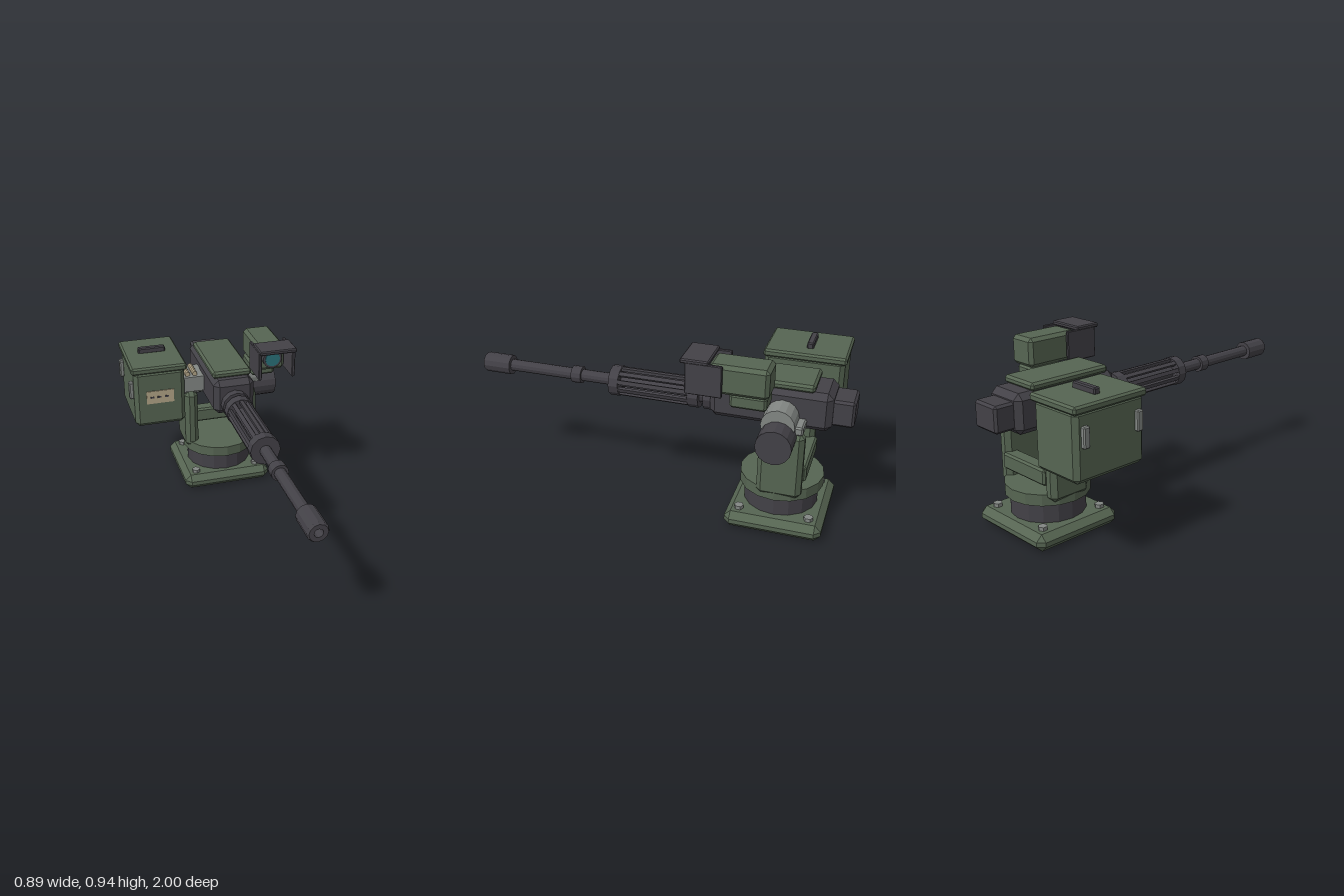
import * as THREE from 'three';
import { ConvexGeometry } from 'three/addons/geometries/ConvexGeometry.js';

const mat = (name, color) => Object.assign(new THREE.MeshStandardMaterial({ color }), { name });

export function createModel() {
  const model = new THREE.Group();
  model.name = 'remoteGunTurret';
  const green = mat('armourGreen', 0x566552);
  const dark = mat('gunmetal', 0x434147);
  const grey = mat('bareSteel', 0x838784);
  const beige = mat('beige', 0xb3a587);
  const glass = mat('tealGlass', 0x2a7078);

  // Flat-shaded mesh
  function add(name, geometry, material) {
    const g = geometry.index ? geometry.toNonIndexed() : geometry;
    g.computeVertexNormals();
    const mesh = new THREE.Mesh(g, material);
    mesh.name = name;
    model.add(mesh);
    return mesh;
  }

  // Box given by its limits on each axis, with all edges chamfered by c
  function block(name, material, [x0, x1], [y0, y1], [z0, z1], c = 0) {
    const h = [(x1 - x0) / 2, (y1 - y0) / 2, (z1 - z0) / 2];
    let g;
    if (c > 0) {
      const pts = [];
      for (const sx of [-1, 1]) for (const sy of [-1, 1]) for (const sz of [-1, 1])
        for (let full = 0; full < 3; full++) {
          const r = h.map((v, i) => (i === full ? v : v - c));
          pts.push(new THREE.Vector3(sx * r[0], sy * r[1], sz * r[2]));
        }
      g = new ConvexGeometry(pts);
    } else g = new THREE.BoxGeometry(h[0] * 2, h[1] * 2, h[2] * 2);
    const mesh = add(name, g, material);
    mesh.position.set((x0 + x1) / 2, (y0 + y1) / 2, (z0 + z1) / 2);
    return mesh;
  }

  // Cylinders along each axis, given by their limits on that axis
  function cylY(name, material, x, z, y0, y1, r, n = 16) {
    add(name, new THREE.CylinderGeometry(r, r, y1 - y0, n), material).position.set(x, (y0 + y1) / 2, z);
  }
  function cylX(name, material, x0, x1, y, z, r, n = 16) {
    const g = new THREE.CylinderGeometry(r, r, x1 - x0, n).rotateZ(Math.PI / 2);
    add(name, g, material).position.set((x0 + x1) / 2, y, z);
  }
  function cylZ(name, material, x, y, z0, z1, r, n = 12) {
    const g = new THREE.CylinderGeometry(r, r, z1 - z0, n).rotateX(Math.PI / 2);
    add(name, g, material).position.set(x, y, (z0 + z1) / 2);
  }

  const CX = 0.105, CZ = -0.66, GY = 0.617;

  // Base plate, bolts and turning ring
  block('basePlate', green, [-0.153, 0.363], [0, 0.088], [-0.91, -0.415], 0.032);
  for (const sx of [-1, 1]) for (const sz of [-1, 1])
    cylY('baseBolt', grey, CX + sx * 0.185, CZ + sz * 0.178, 0.08, 0.107, 0.024, 6);
  cylY('bearingRing', dark, CX, CZ, 0.08, 0.19, 0.191);
  cylY('turntable', green, CX, CZ, 0.188, 0.247, 0.215);

  // Yoke arms and cross beam
  for (const s of [-1, 1]) {
    const x = CX + s * 0.179;
    block('yokeArm', green, [x - 0.039, x + 0.039], [0.21, 0.57], [-0.79, -0.567], 0.024);
  }
  block('crossBeam', green, [-0.06, 0.27], [0.29, 0.375], [-0.805, -0.725], 0.01);

  // Trunnions, drive motor and feed chute
  cylX('trunnion', grey, -0.14, 0.0, GY, CZ, 0.083);
  cylX('trunnion', grey, 0.21, 0.34, GY, CZ, 0.083);
  cylX('driveMotor', dark, 0.305, 0.443, 0.555, -0.663, 0.088);
  block('chargingBar', grey, [0.21, 0.32], [0.57, 0.615], [-0.78, -0.735], 0.008);
  block('feedChute', grey, [-0.14, 0.0], [0.6, 0.69], [-0.7, -0.53]);
  for (const x of [-0.1, -0.058])
    cylZ('cartridge', beige, x, 0.7, -0.67, -0.55, 0.015, 10);

  // Receiver
  block('receiver', dark, [-0.01, 0.222], [0.55, 0.752], [-0.897, -0.29], 0.03);
  block('rearBuffer', dark, [0.021, 0.188], [0.58, 0.716], [-1, -0.88], 0.012);
  block('topCover', green, [-0.005, 0.217], [0.75, 0.79], [-0.807, -0.34], 0.012);
  cylZ('frontCollar', dark, CX, GY, -0.36, -0.247, 0.08);
  cylZ('barrelNeck', dark, CX, GY, -0.25, -0.2, 0.05);

  // Barrel, open cooling jacket and muzzle
  cylZ('barrel', dark, CX, GY, -0.25, 0.93, 0.031);
  cylZ('jacketRearRing', dark, CX, GY, -0.22, -0.165, 0.08);
  cylZ('jacketFrontRing', dark, CX, GY, 0.21, 0.262, 0.08);
  for (let i = 0; i < 10; i++) {
    const a = (i + 0.5) / 10 * Math.PI * 2;
    const slat = add('jacketSlat', new THREE.BoxGeometry(0.016, 0.022, 0.4), dark);
    slat.position.set(CX + 0.067 * Math.cos(a), GY + 0.067 * Math.sin(a), 0.022);
    slat.rotation.z = a;
  }
  cylZ('barrelRing', dark, CX, GY, 0.433, 0.487, 0.045);
  const muzzle = [[0, 0.845], [0.053, 0.845], [0.053, 0.99], [0.046, 1], [0.022, 1], [0.022, 0.94], [0, 0.94]]
    .map(([r, y]) => new THREE.Vector2(r, y));
  add('muzzle', new THREE.LatheGeometry(muzzle, 12).rotateX(Math.PI / 2), dark).position.set(CX, GY, 0);

  // Ammunition box with lid, handle, latches and label
  block('ammoBox', green, [-0.422, -0.13], [0.433, 0.775], [-0.9, -0.487], 0.023);
  block('ammoLid', green, [-0.434, -0.117], [0.76, 0.8], [-0.91, -0.483], 0.01);
  block('lidHandle', dark, [-0.353, -0.197], [0.795, 0.83], [-0.727, -0.692], 0.006);
  for (const z of [-0.85, -0.535])
    block('boxLatch', grey, [-0.445, -0.418], [0.603, 0.705], [z - 0.018, z + 0.018], 0.006);
  block('boxLabel', beige, [-0.355, -0.198], [0.578, 0.655], [-0.488, -0.482]);
  for (const x of [-0.324, -0.282, -0.24])
    block('labelDash', dark, [x - 0.011, x + 0.011], [0.612, 0.622], [-0.483, -0.479]);

  // Sight with lens and sun shroud
  block('sightFoot', green, [0.246, 0.381], [0.7, 0.772], [-0.61, -0.43], 0.012);
  block('sightBody', green, [0.247, 0.405], [0.772, 0.922], [-0.622, -0.33], 0.018);
  cylZ('lensRing', dark, 0.326, 0.85, -0.36, -0.305, 0.054, 16);
  cylZ('lens', glass, 0.326, 0.85, -0.31, -0.301, 0.042, 16);
  block('shroudRoof', dark, [0.222, 0.43], [0.92, 0.943], [-0.34, -0.2], 0.006);
  for (const x of [0.231, 0.421])
    block('shroudSide', dark, [x - 0.009, x + 0.009], [0.767, 0.928], [-0.405, -0.225], 0.004);

  return model;
}
